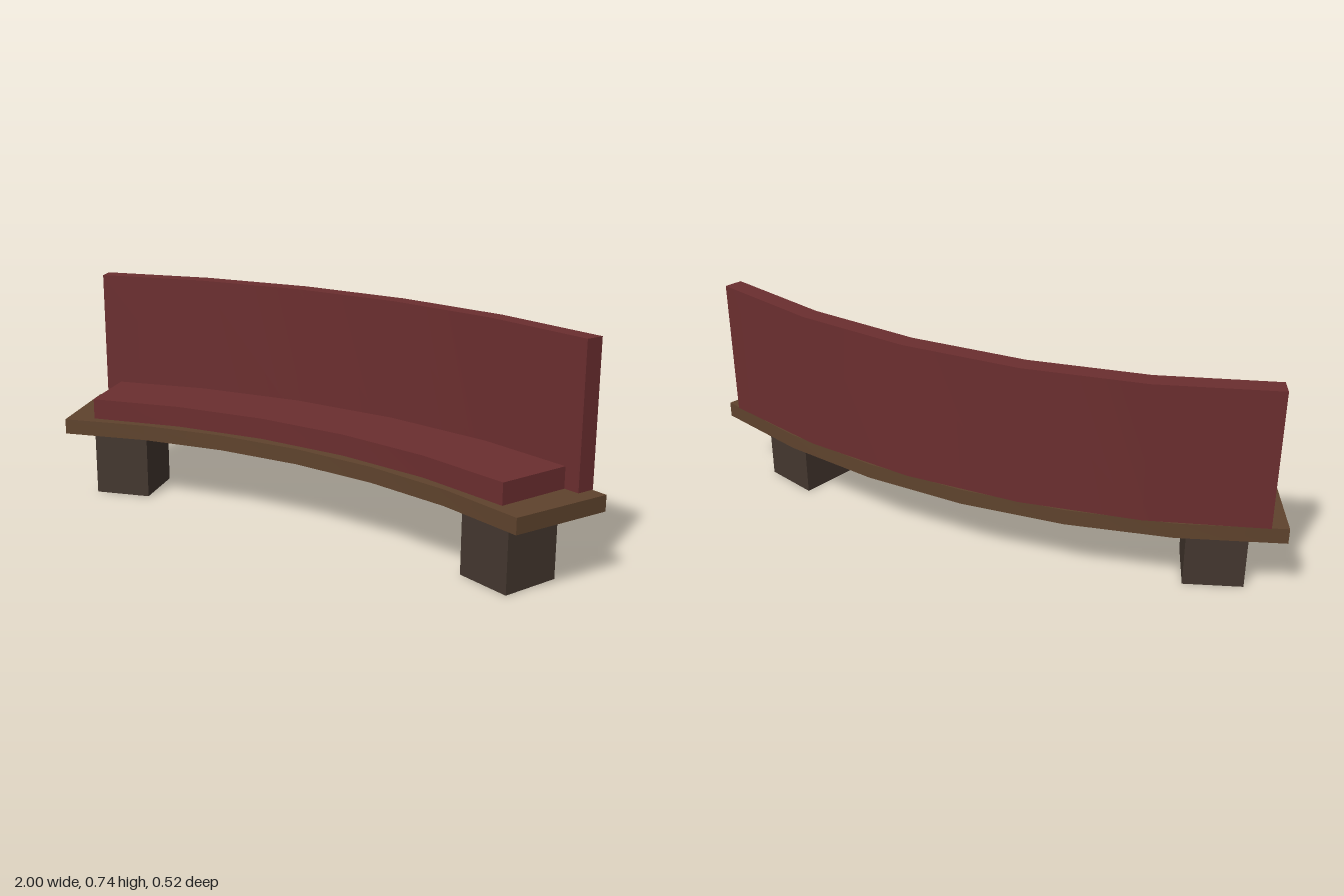
import * as THREE from 'three';
import { toCreasedNormals } from 'three/addons/utils/BufferGeometryUtils.js';

const CENTER_Z = 2.353; // all curved parts share this arc centre in front of the bench

// Ring sector between two radii, spanning +-halfDeg, from height y0 to y1
function arcSlab(rIn, rOut, halfDeg, segments, y0, y1) {
  const half = THREE.MathUtils.degToRad(halfDeg);
  const arc = (r) => Array.from({ length: segments + 1 }, (_, i) => {
    const a = -half + (2 * half * i) / segments;
    return new THREE.Vector2(r * Math.sin(a), r * Math.cos(a) - CENTER_Z);
  });
  const shape = new THREE.Shape([...arc(rIn), ...arc(rOut).reverse()]);
  const geo = new THREE.ExtrudeGeometry(shape, { depth: y1 - y0, bevelEnabled: false });
  geo.rotateX(-Math.PI / 2).translate(0, y0, 0);
  return toCreasedNormals(geo, 0.4);
}

export function createModel() {
  const upholstery = new THREE.MeshStandardMaterial({ name: 'dark red upholstery', color: 0x6b2e2f });
  const wood = new THREE.MeshStandardMaterial({ name: 'brown wood', color: 0x5f432d });
  const darkWood = new THREE.MeshStandardMaterial({ name: 'dark leg wood', color: 0x44372f });

  const group = new THREE.Group();
  group.name = 'curvedBench';
  const add = (name, geo, material) => {
    const mesh = new THREE.Mesh(geo, material);
    mesh.name = name;
    group.add(mesh);
    return mesh;
  };

  // Curved board, cushion and backrest
  add('seatBoard', arcSlab(2.265, 2.613, 22.5, 6, 0.228, 0.28), wood);
  add('seatCushion', arcSlab(2.298, 2.56, 20.1, 5, 0.28, 0.35), upholstery);
  add('backrest', arcSlab(2.553, 2.613, 21.3, 5, 0.28, 0.743), upholstery);

  // Block legs turned to follow the arc
  for (const side of [1, -1]) {
    const leg = add(side > 0 ? 'leftLeg' : 'rightLeg', new THREE.BoxGeometry(0.194, 0.228, 0.204), darkWood);
    leg.position.set(side * 0.747, 0.114, 0.05);
    leg.rotation.y = -side * THREE.MathUtils.degToRad(19);
  }
  return group;
}
